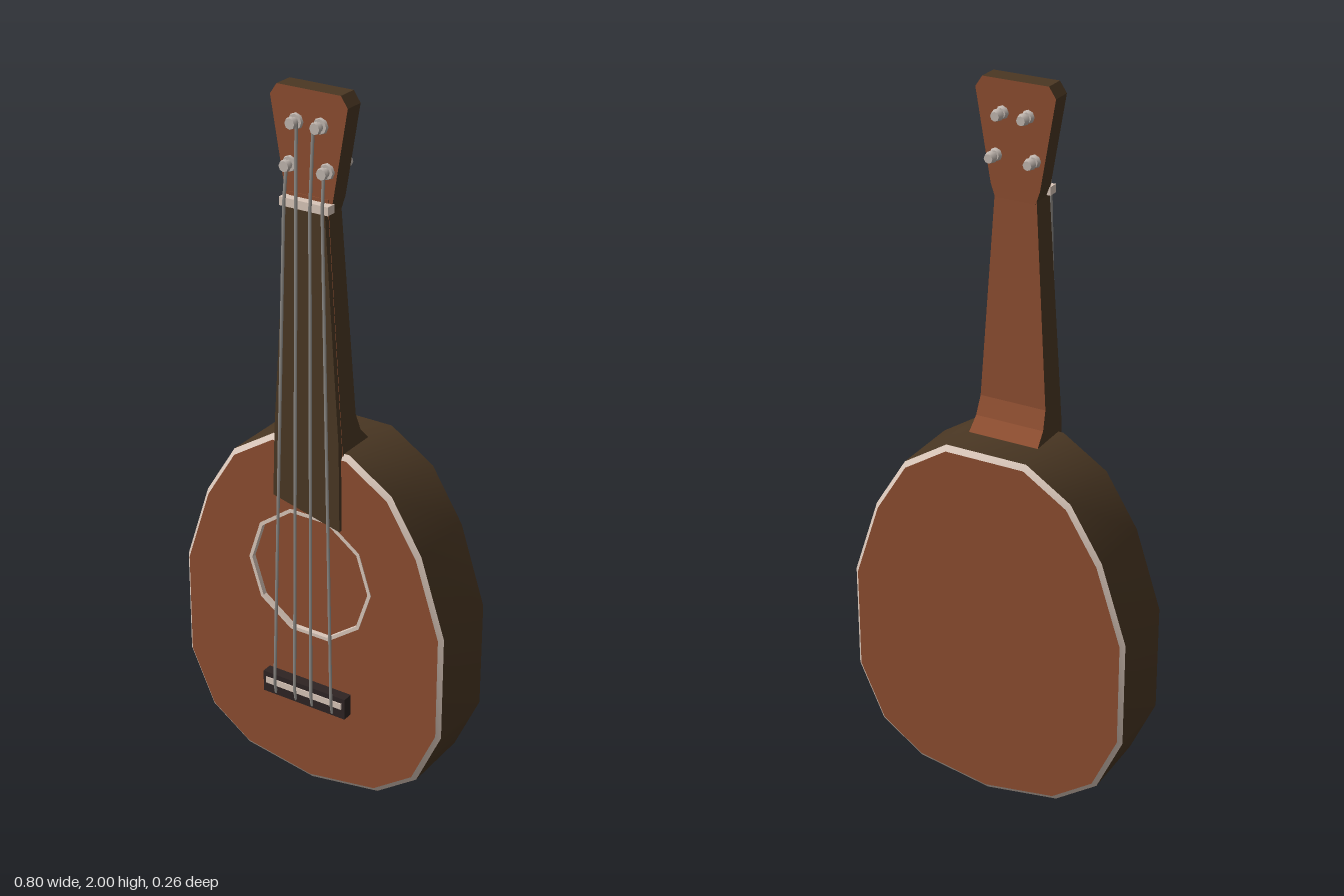
import * as THREE from 'three';
import { toCreasedNormals } from 'three/addons/utils/BufferGeometryUtils.js';

const mat = (name, color) => Object.assign(new THREE.MeshStandardMaterial({ color }), { name });
const V2 = (x, y) => new THREE.Vector2(x, y);

export function createModel() {
  const wood = mat('reddish wood', 0x8c4d30);
  const dark = mat('dark wood', 0x4a3723);
  const cream = mat('cream binding', 0xd9c6b9);
  const metal = mat('peg metal', 0xbfb5ae);
  const wire = mat('string grey', 0x8d8a86);
  const black = mat('ebony', 0x2e2423);

  const model = new THREE.Group();
  model.name = 'ukulele';
  const add = (name, geo, material, x = 0, y = 0, z = 0) => {
    const m = new THREE.Mesh(geo, material);
    m.name = name;
    m.position.set(x, y, z);
    model.add(m);
    return m;
  };
  const extrude = (shape, depth) => new THREE.ExtrudeGeometry(shape, { depth, bevelEnabled: false });

  // Body outline, counter-clockwise, mirrored from the right half
  const half = [[0.21, 0.085], [0.33, 0.17], [0.402, 0.33], [0.402, 0.63], [0.33, 0.85], [0.24, 0.995], [0.115, 1.075]];
  const outline = [[0, 0.05], ...half, ...half.map(([x, y]) => [-x, y]).reverse()];
  const ring = (s) => outline.map(([x, y]) => V2(x * s, 0.56 + (y - 0.56) * s));

  // Strip between two scaled outlines at different depths
  const strip = (s0, z0, s1, z1, inward = false) => {
    const a = ring(s0), b = ring(s1), pos = [];
    a.forEach((p, i) => {
      const j = (i + 1) % a.length;
      const q = [[p, z0], [a[j], z0], [b[j], z1], [b[i], z1]];
      const order = inward ? [0, 2, 1, 0, 3, 2] : [0, 1, 2, 0, 2, 3];
      order.forEach((k) => pos.push(q[k][0].x, q[k][0].y, q[k][1]));
    });
    const g = new THREE.BufferGeometry();
    g.setAttribute('position', new THREE.Float32BufferAttribute(pos, 3));
    return toCreasedNormals(g, 0.7);
  };
  const inset = 0.972;
  add('bodySides', strip(1, -0.118, 1, 0.083), dark);
  add('frontBinding', strip(1, 0.083, inset, 0.094), cream);
  add('backBinding', strip(inset, -0.129, 1, -0.118), cream);
  add('innerSides', strip(0.97, -0.115, 0.97, 0.083, true), wood);
  add('innerBack', new THREE.ShapeGeometry(new THREE.Shape(ring(0.97))), wood, 0, 0, -0.115);
  add('backPlate', new THREE.ShapeGeometry(new THREE.Shape(ring(inset))), wood, 0, 0, -0.129).rotation.y = Math.PI;

  // Soundboard with a ten-sided hole
  const decagon = (r) => Array.from({ length: 10 }, (_, i) => {
    const t = (i / 10) * Math.PI * 2;
    return V2(r * Math.cos(t), 0.695 + r * Math.sin(t));
  });
  const holed = (points, r) => {
    const s = new THREE.Shape(points);
    s.holes.push(new THREE.Path(decagon(r)));
    return s;
  };
  add('soundboard', new THREE.ShapeGeometry(holed(ring(inset), 0.185), 1), wood, 0, 0, 0.094).material.side = THREE.DoubleSide;
  add('soundHoleRing', extrude(holed(decagon(0.19), 0.18), 0.014), cream, 0, 0, 0.082);

  // Neck: side profile extruded across, then tapered towards the nut
  const neckShape = new THREE.Shape([
    V2(0.09, 1.07), V2(0.09, 1.74), V2(0.036, 1.74), V2(0.022, 1.16), V2(0.004, 1.11), V2(-0.032, 1.072),
  ]);
  const neck = extrude(neckShape, 2);
  neck.rotateY(-Math.PI / 2).translate(1, 0, 0);
  const p = neck.attributes.position;
  for (let i = 0; i < p.count; i++) {
    const t = THREE.MathUtils.clamp((p.getY(i) - 1.07) / 0.65, 0, 1);
    p.setX(i, p.getX(i) * THREE.MathUtils.lerp(0.1, 0.056, t));
  }
  neck.computeVertexNormals();
  add('neck', neck, [dark, wood]);

  // Fingerboard with a slanted end over the sound hole
  const board = new THREE.Shape([V2(-0.103, 0.91), V2(0.1, 0.86), V2(0.097, 1.1), V2(0.056, 1.72), V2(-0.056, 1.72), V2(-0.097, 1.1)]);
  add('fingerboard', extrude(board, 0.018), dark, 0, 0, 0.087);

  // Headstock and nut
  const headHalf = [[0.056, 1.7], [0.068, 1.735], [0.109, 1.972], [0.09, 2]];
  const head = new THREE.Shape([...headHalf, ...headHalf.map(([x, y]) => [-x, y]).reverse()].map(([x, y]) => V2(x, y)));
  add('headstock', extrude(head, 0.055), [wood, dark], 0, 0, 0.033);
  add('nut', new THREE.BoxGeometry(0.14, 0.022, 0.028), cream, 0, 1.72, 0.098);

  // Bridge and saddle
  add('bridge', new THREE.BoxGeometry(0.26, 0.062, 0.032), black, 0, 0.34, 0.108);
  add('saddle', new THREE.BoxGeometry(0.24, 0.018, 0.006), cream, 0, 0.347, 0.124);

  // Tuning pegs, round parts stacked along z
  const disc = (name, r0, r1, x, y, z0, z1, material = metal) => {
    const g = new THREE.CylinderGeometry(r1, r0, z1 - z0, 8);
    add(name, g.rotateX(Math.PI / 2), material, x, y, (z0 + z1) / 2);
  };
  const pegs = [[0.053, 1.81], [0.035, 1.918]];
  for (const side of [-1, 1]) {
    for (const [px, y] of pegs) {
      const x = px * side;
      disc('pegWasher', 0.021, 0.019, x, y, 0.088, 0.095);
      disc('pegPost', 0.011, 0.011, x, y, 0.095, 0.11);
      disc('pegCap', 0.016, 0.014, x, y, 0.108, 0.117);
      disc('pegCollar', 0.013, 0.018, x, y, 0.024, 0.034);
      disc('pegShaft', 0.008, 0.008, x, y, 0.008, 0.026);
      disc('pegKnob', 0.012, 0.016, x, y, -0.006, 0.011);
    }
    // Strings: bridge to nut, then on to the peg
    [[0.09, 0.055, 0.053, 1.81], [0.026, 0.02, 0.024, 1.918]].forEach(([bx, nx, ex, ey]) => {
      const pts = [[bx, 0.315, 0.122], [bx, 0.347, 0.128], [nx, 1.72, 0.113], [ex, ey, 0.104]]
        .map(([x, y, z]) => new THREE.Vector3(x * side, y, z));
      const path = new THREE.CurvePath();
      for (let i = 0; i < 3; i++) path.add(new THREE.LineCurve3(pts[i], pts[i + 1]));
      add('string', new THREE.TubeGeometry(path, 48, 0.0045, 5), wire);
    });
  }

  // Strap button under the body
  const button = [[0, 0], [0.03, 0], [0.028, 0.008], [0.016, 0.018], [0.016, 0.06]].map(([x, y]) => V2(x, y));
  add('strapButton', new THREE.LatheGeometry(button, 10), black, 0, 0, -0.012);

  return model;
}
